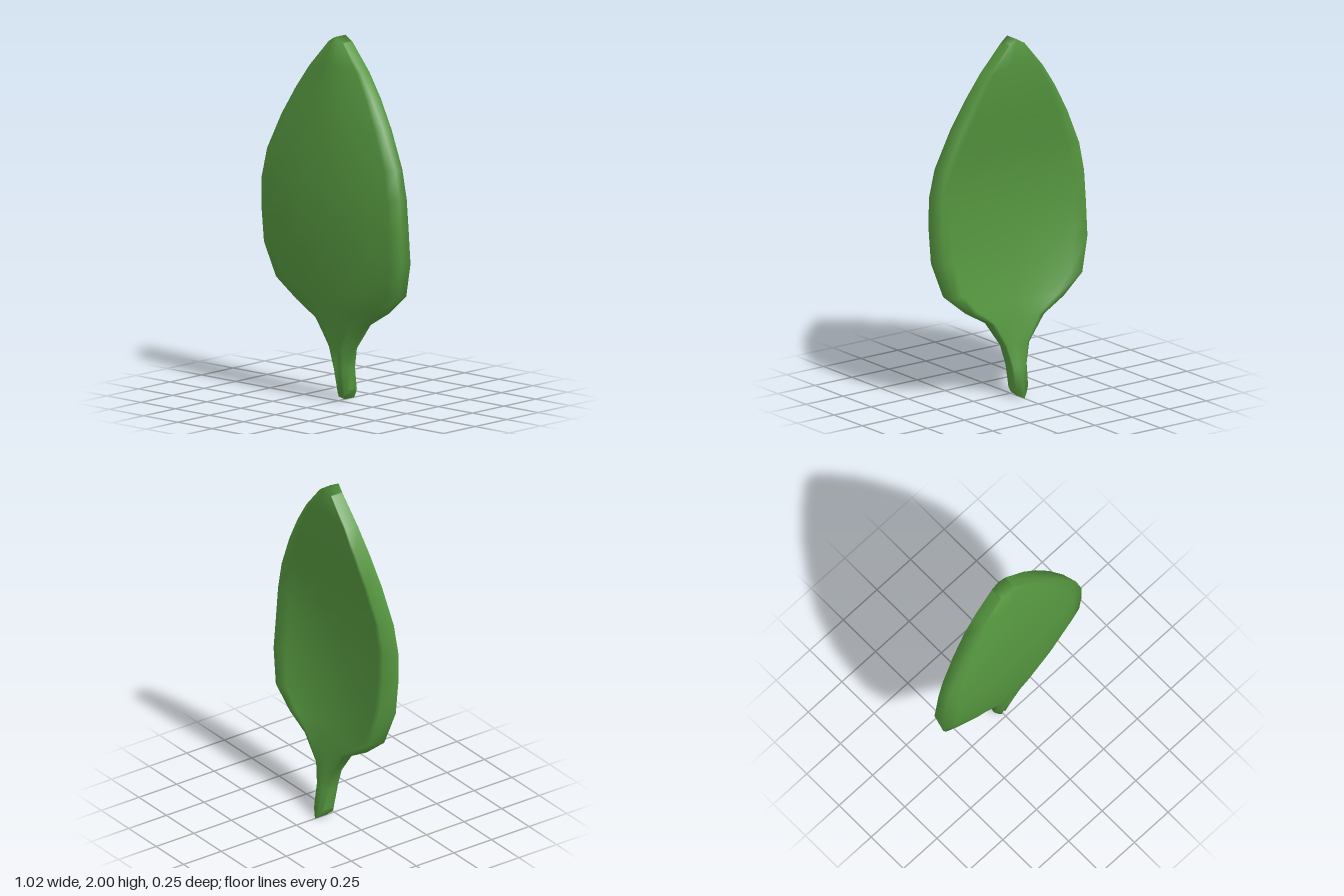
import * as THREE from 'three';

// Rows from stem to tip:
// [edge y, centre y, half width, front centre z, front rim z, back rim z, back centre z, front groove, front roundness]
const ROWS = [
  [0.06, 0.0, 0.045, -0.017, -0.04, -0.1, -0.125, 0.035, 2.2],
  [0.18, 0.17, 0.053, 0.015, -0.025, -0.077, -0.097, 0.036, 2.2],
  [0.29, 0.29, 0.085, 0.038, -0.018, -0.06, -0.07, 0.03, 2.0],
  [0.43, 0.43, 0.185, 0.063, -0.018, -0.066, -0.048, 0.02, 1.9],
  [0.51, 0.52, 0.32, 0.08, -0.016, -0.073, -0.027, 0.012, 1.9],
  [0.62, 0.63, 0.45, 0.096, 0.006, -0.075, -0.002, 0.008, 2.0],
  [0.81, 0.81, 0.505, 0.113, 0.042, -0.052, 0.03, 0.006, 2.2],
  [1.0, 1.03, 0.51, 0.128, 0.056, -0.032, 0.043, 0.006, 2.2],
  [1.17, 1.2, 0.505, 0.122, 0.06, -0.022, 0.038, 0.003, 2.2],
  [1.33, 1.36, 0.47, 0.113, 0.055, -0.023, 0.02, 0, 2.0],
  [1.53, 1.54, 0.375, 0.1, 0.044, -0.037, -0.013, 0, 1.8],
  [1.69, 1.71, 0.28, 0.077, 0.032, -0.048, -0.037, 0, 1.5],
  [1.82, 1.85, 0.19, 0.055, 0.022, -0.052, -0.047, 0, 1.3],
  [1.97, 2.0, 0.055, 0.03, 0.016, -0.055, -0.055, 0, 1],
];
const COLS = [-1, -0.85, -0.6, -0.3, 0, 0.3, 0.6, 0.85, 1];

// Closed loop around the leaf at one row: front left to right, then back right to left
function crossSection([yEdge, yMid, w, frontMid, frontRim, backRim, backMid, groove, roundness]) {
  const points = [];
  const height = (u) => yMid + (yEdge - yMid) * Math.abs(u);
  for (const u of COLS) {
    const z = frontRim + (frontMid - frontRim) * (1 - Math.abs(u) ** roundness);
    points.push([u * w, height(u), u === 0 ? z - groove : z]);
  }
  const power = backMid < backRim ? 1.4 : 2.4; // rounded stem, cupped blade
  for (const u of [...COLS].reverse()) {
    const z = backRim + (backMid - backRim) * (1 - Math.abs(u) ** power);
    points.push([u * w * 0.95, height(u), z]);
  }
  return points;
}

function leafGeometry() {
  const n = COLS.length * 2;
  const positions = ROWS.flatMap(crossSection).flat();
  const index = [];
  // Skin between neighbouring loops
  for (let i = 0; i < ROWS.length - 1; i++) {
    for (let j = 0; j < n; j++) {
      const a = i * n + j;
      const b = i * n + ((j + 1) % n);
      index.push(a, b, b + n, a, b + n, a + n);
    }
  }
  // Caps at the stem end and the tip
  const top = (ROWS.length - 1) * n;
  for (let j = 0; j < COLS.length - 1; j++) {
    const back = n - 1 - j;
    index.push(j, back, back - 1, j, back - 1, j + 1);
    index.push(top + j, top + back - 1, top + back, top + j, top + j + 1, top + back - 1);
  }
  const geometry = new THREE.BufferGeometry();
  geometry.setAttribute('position', new THREE.Float32BufferAttribute(positions, 3));
  geometry.setIndex(index);
  geometry.computeVertexNormals();
  return geometry;
}

export function createModel() {
  const leafGreen = new THREE.MeshStandardMaterial({ color: 0x55963f });
  leafGreen.name = 'leaf green';
  const leaf = new THREE.Mesh(leafGeometry(), leafGreen);
  leaf.name = 'leafBladeAndStem';
  const group = new THREE.Group();
  group.name = 'leaf';
  group.add(leaf);
  return group;
}
